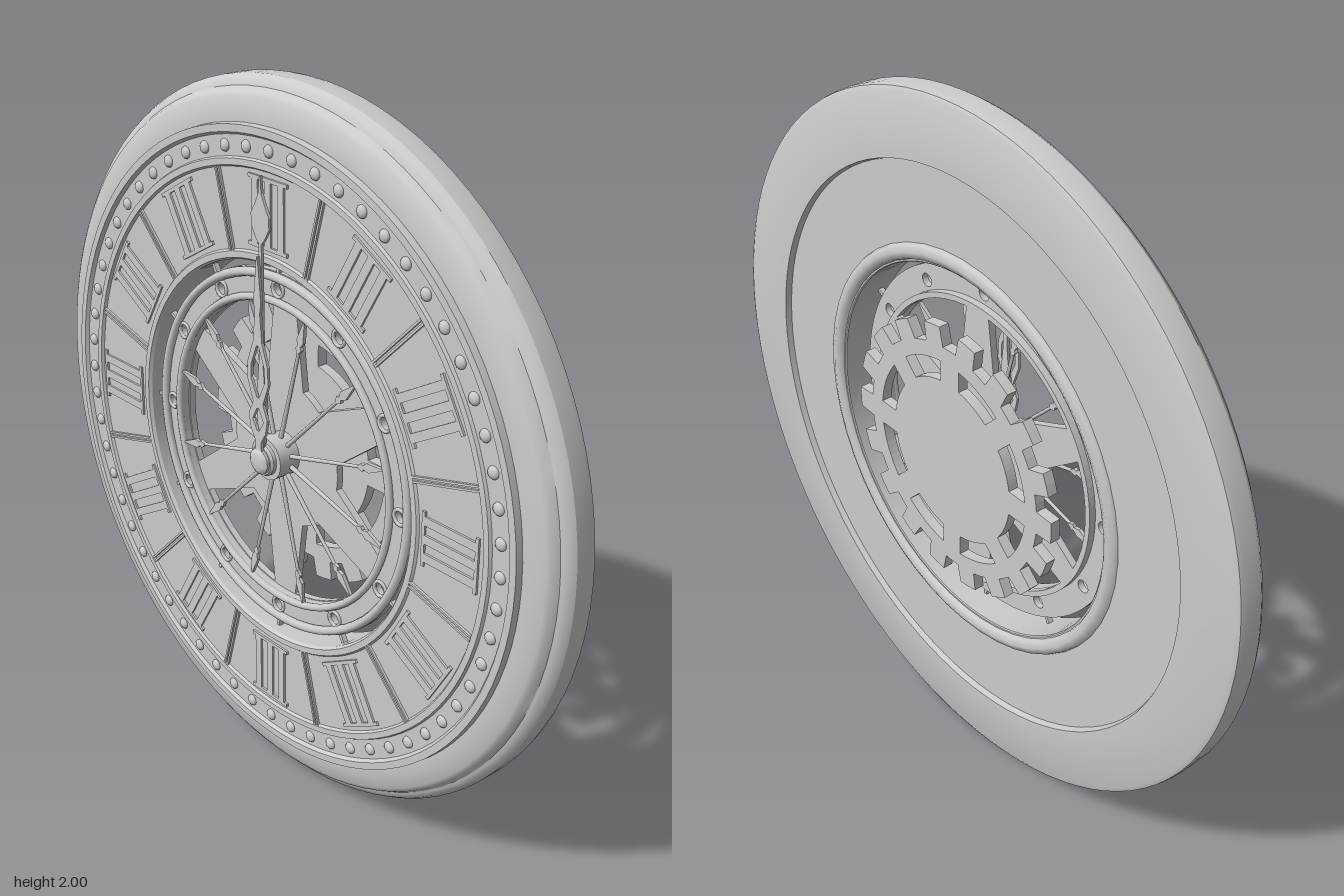
import * as THREE from 'three';
import { toCreasedNormals } from 'three/addons/utils/BufferGeometryUtils.js';

const TAU = Math.PI * 2;
const material = new THREE.MeshStandardMaterial({ color: 0xcccccc });

export function createModel() {
  const root = new THREE.Group();
  root.name = 'skeletonClock';
  const clock = new THREE.Group();
  clock.name = 'clock';
  clock.position.y = 1;
  root.add(clock);

  const add = (name, geometry, x = 0, y = 0, z = 0, parent = clock) => {
    const mesh = new THREE.Mesh(geometry, material);
    mesh.name = name;
    mesh.position.set(x, y, z);
    parent.add(mesh);
    return mesh;
  };
  // Revolve an [r, z] profile around the z axis
  const turned = (profile, segments = 96) => toCreasedNormals(
    new THREE.LatheGeometry(profile.map(p => new THREE.Vector2(...p)), segments).rotateX(Math.PI / 2), 0.5);
  const torus = (r, tube, segments = 72) => new THREE.TorusGeometry(r, tube, 8, segments);
  const plate = (shape, depth, curveSegments = 24) =>
    new THREE.ExtrudeGeometry(shape, { depth, bevelEnabled: false, curveSegments });
  const disc = r => new THREE.Shape().absarc(0, 0, r, 0, TAU, false);
  const polar = (r, a) => new THREE.Vector2(r * Math.cos(a), r * Math.sin(a));
  // Closed ring sector running from r0 to r1 with its own half angle at each radius
  const sector = (a, r0, h0, r1, h1) => {
    const pts = [];
    for (let i = 0; i <= 8; i++) pts.push(polar(r1, a - h1 + h1 * i / 4));
    for (let i = 0; i <= 8; i++) pts.push(polar(r0, a + h0 - h0 * i / 4));
    return new THREE.Path(pts);
  };
  // Outline symmetric about the y axis from its right-hand half
  const mirrored = half => new THREE.Shape(
    [...half, ...half.map(([x, y]) => [-x, y]).reverse()].map(p => new THREE.Vector2(...p)));
  const spun = (name, count, start, build) => {
    const group = new THREE.Group();
    group.name = name;
    clock.add(group);
    for (let i = 0; i < count; i++) {
      const arm = new THREE.Group();
      arm.rotation.z = start + TAU * i / count;
      group.add(arm);
      build(arm, i);
    }
  };

  // Stepped case and dial in one turned body
  add('caseAndDial', turned([
    [0.54, -0.058], [0.81, -0.058], [0.815, -0.075], [0.985, -0.075], [0.997, -0.069], [1, -0.055],
    [1, -0.005], [0.992, 0.008], [0.98, 0.016], [0.972, 0.019], [0.962, 0.036], [0.95, 0.044],
    [0.925, 0.047], [0.915, 0.05], [0.887, 0.05], [0.885, 0.07], [0.865, 0.07], [0.858, 0.06],
    [0.803, 0.06], [0.799, 0.068], [0.782, 0.068], [0.777, 0.06], [0.565, 0.06], [0.56, 0.067],
    [0.543, 0.067], [0.537, 0.058], [0.537, -0.055], [0.54, -0.058],
  ]));
  add('backRim', torus(0.568, 0.027, 48), 0, 0, -0.048);

  // Small studs round the minute track
  spun('minuteStuds', 60, 0, arm => {
    const stud = add('stud', new THREE.SphereGeometry(0.017, 12, 8), 0.83, 0, 0.06, arm);
    stud.scale.z = 0.6;
  });

  // Plain bar markers at the hours
  spun('hourMarkers', 12, 0, arm => {
    for (const y of [-0.05, 0, 0.05]) {
      add('markerBar', new THREE.BoxGeometry(0.17, 0.024, 0.008), 0.67, y, 0.062, arm);
    }
    for (const r of [0.582, 0.758]) {
      add('markerEnd', new THREE.BoxGeometry(0.01, 0.15, 0.008), r, 0, 0.062, arm);
    }
  });

  // Double dividers between the hours
  spun('hourDividers', 12, TAU / 24, arm => {
    for (const y of [-0.006, 0.006]) {
      add('divider', new THREE.BoxGeometry(0.22, 0.006, 0.01), 0.67, y, 0.062, arm);
    }
  });

  // Inner ring pierced by twelve eyelets
  const band = disc(0.513);
  band.holes.push(new THREE.Path().absarc(0, 0, 0.425, 0, TAU, true));
  for (let i = 0; i < 12; i++) {
    const c = polar(0.468, TAU * i / 12);
    band.holes.push(new THREE.Path().absarc(c.x, c.y, 0.019, 0, TAU, true));
  }
  add('innerBand', plate(band, 0.02, 48), 0, 0, 0.01);
  add('innerBandOuterRim', torus(0.5, 0.013), 0, 0, 0.035);
  add('innerBandInnerRim', torus(0.434, 0.011), 0, 0, 0.035);
  spun('eyelets', 12, 0, arm => {
    add('eyelet', torus(0.021, 0.005, 20), 0.468, 0, 0.032, arm);
    add('bandTie', new THREE.BoxGeometry(0.05, 0.01, 0.015), 0.525, 0, 0.025, arm);
  });

  // Movement plate with six flared openings
  const movement = disc(0.44);
  for (let i = 0; i < 6; i++) movement.holes.push(sector(TAU * i / 6, 0.21, 0.17, 0.424, 0.42));
  add('movementPlate', plate(movement, 0.02, 48), 0, 0, -0.012);

  // Gear wheel at the back
  const gearPoints = [];
  const teeth = 18;
  for (let i = 0; i < teeth; i++) {
    for (const [r, t] of [[0.345, -0.29], [0.4, -0.23], [0.4, 0], [0.4, 0.23], [0.345, 0.29], [0.345, 0.5]]) {
      gearPoints.push(polar(r, TAU * (i + t) / teeth));
    }
  }
  const gear = new THREE.Shape(gearPoints);
  for (let i = 0; i < 8; i++) gear.holes.push(sector(TAU * (i + 0.5) / 8, 0.24, 0.24, 0.3, 0.27));
  add('gearWheel', plate(gear, 0.03), 0, 0, -0.105);
  add('gearArbor', new THREE.CylinderGeometry(0.06, 0.06, 0.16, 24).rotateX(Math.PI / 2), 0, 0, -0.005);

  // Radial rods with spear tips
  const spear = mirrored([[0.003, 0.33], [0.011, 0.345], [0.005, 0.352], [0.013, 0.368], [0.002, 0.425]]);
  spun('spearRods', 12, TAU / 24, arm => {
    add('rod', new THREE.CylinderGeometry(0.004, 0.007, 0.42, 8), 0, 0.215, 0.035, arm);
    add('spearTip', plate(spear, 0.01), 0, 0, 0.03, arm);
  });

  // Minute hand with a spade tip
  const minute = mirrored([[0.014, -0.04], [0.01, 0.05], [0.02, 0.16], [0.008, 0.28], [0.005, 0.6],
    [0.018, 0.615], [0.035, 0.645], [0.035, 0.675], [0.018, 0.705], [0.006, 0.73], [0.002, 0.775]]);
  add('minuteHand', plate(minute, 0.008), 0, 0, 0.082);

  // Hour hand with an openwork leaf
  const hour = mirrored([[0.014, -0.03], [0.012, 0.06], [0.03, 0.09], [0.038, 0.13], [0.02, 0.17],
    [0.042, 0.23], [0.04, 0.28], [0.018, 0.34], [0.01, 0.42], [0.015, 0.45], [0.002, 0.57]]);
  hour.holes.push(mirrored([[0.004, 0.09], [0.022, 0.12], [0.004, 0.155]]));
  hour.holes.push(mirrored([[0.004, 0.185], [0.028, 0.235], [0.026, 0.275], [0.004, 0.33]]));
  add('hourHand', plate(hour, 0.008), 0, 0, 0.093);

  // Centre boss
  add('centreBoss', turned([[0, 0.02], [0.045, 0.02], [0.045, 0.085], [0.04, 0.092], [0.036, 0.092],
    [0.036, 0.1], [0.026, 0.107], [0, 0.11]], 32));

  return root;
}
